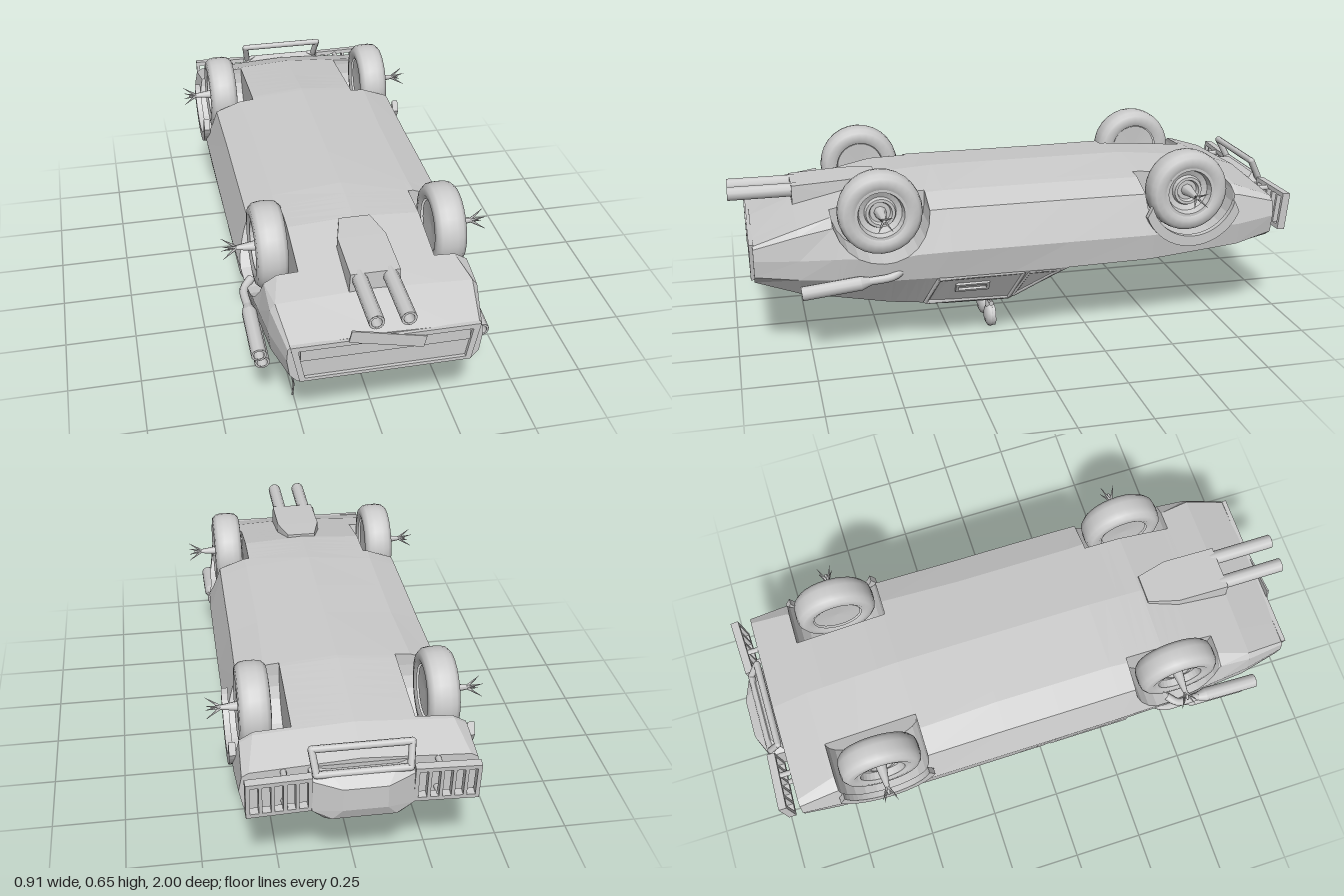
import * as THREE from 'three';
import { ConvexGeometry } from 'three/addons/geometries/ConvexGeometry.js';

const V = (x, y, z) => new THREE.Vector3(x, y, z);
const mat = new THREE.MeshStandardMaterial({ color: 0xcccccc, side: THREE.DoubleSide });
const flat = new THREE.MeshStandardMaterial({ color: 0xcccccc, side: THREE.DoubleSide, flatShading: true });

// Half cross-sections of the overturned shell, from nose to tail:
// z, underside centre y, sill x,y, belt x,y, shoulder x,y, roof rim x,y, inner roof y
const SECTIONS = [
  [-0.91, 0.495, 0.345, 0.475, 0.378, 0.41, 0.365, 0.345, 0.33, 0.322, 0.318],
  [-0.78, 0.54, 0.32, 0.52, 0.383, 0.39, 0.37, 0.31, 0.33, 0.293, 0.287],
  [-0.45, 0.573, 0.25, 0.55, 0.386, 0.375, 0.372, 0.28, 0.32, 0.275, 0.268],
  [-0.15, 0.573, 0.24, 0.55, 0.386, 0.375, 0.37, 0.275, 0.31, 0.27, 0.265],
  [0.05, 0.573, 0.24, 0.55, 0.386, 0.375, 0.367, 0.275, 0.285, 0.14, 0.135],
  [0.27, 0.572, 0.24, 0.55, 0.385, 0.375, 0.365, 0.275, 0.285, 0.145, 0.14],
  [0.469, 0.56, 0.25, 0.545, 0.378, 0.37, 0.36, 0.278, 0.287, 0.17, 0.183],
  [0.47, 0.56, 0.25, 0.545, 0.378, 0.37, 0.36, 0.278, 0.287, 0.17, 0.217],
  [0.78, 0.49, 0.32, 0.475, 0.345, 0.37, 0.338, 0.3, 0.29, 0.232, 0.268],
  [0.93, 0.43, 0.3, 0.42, 0.312, 0.37, 0.304, 0.31, 0.28, 0.283, 0.288],
];
const WHEELS = [-0.6, 0.5], WHEEL_Y = 0.51, ARCH = 0.165;

function sectionAt(z) {
  let i = 0;
  while (i < SECTIONS.length - 2 && SECTIONS[i + 1][0] < z) i++;
  const a = SECTIONS[i], b = SECTIONS[i + 1], t = (z - a[0]) / (b[0] - a[0]);
  return a.map((v, k) => v + (b[k] - v) * t);
}

function ring(z, wheelZ) {
  const [, yc, xu, yu, xm, ym, xs, ys, xr, yr, yi] = sectionAt(z);
  const xi = z < 0 ? 0.197 : 0.225, yB = yc + (yu - yc) * (xi / xu);
  let well = yB;
  let side = [[xu, yu], [xu + (xm - xu) * 0.68, yu + (ym - yu) * 0.2], [xm, ym], [xs, ys]];
  if (wheelZ !== null) { // cut the wheel well into the side
    well = Math.min(yu - 0.001, WHEEL_Y - Math.sqrt(Math.max(0, ARCH ** 2 - (z - wheelZ) ** 2)));
    const k = side.findIndex(p => p[1] <= well), [a, b] = [side[k - 1], side[k]];
    const cut = [a[0] + (b[0] - a[0]) * (a[1] - well) / (a[1] - b[1]), well];
    side = side.map(p => (p[1] > well ? cut : p));
  }
  const h = [[0, yc], [xi, yB], [xi, well], ...side, [xr, yr], [xr - 0.022, yr], [xr - 0.027, yi], [0, yi]];
  const other = h.slice(1, -1).reverse().map(([x, y]) => [-x, y]);
  return [...h, ...other].map(([x, y]) => V(x, y, z));
}

function shellGeometry() {
  const stations = SECTIONS.map(s => [s[0], null]).filter(([z]) => !WHEELS.some(w => Math.abs(z - w) < ARCH));
  for (const w of WHEELS) {
    stations.push([w - ARCH, null], [w + ARCH, null]);
    for (let k = -6; k <= 6; k++) stations.push([w + ARCH * Math.sin(k * Math.PI / 12) * 0.9999, w]);
  }
  stations.push([0.469, 0.5], [0.47, 0.5]); // sharp step below the rear deck
  stations.sort((a, b) => a[0] - b[0]);
  const rings = stations.map(([z, w]) => ring(z, w)), n = rings[0].length, pts = [];
  for (let i = 0; i < rings.length - 1; i++) for (let j = 0; j < n; j++) {
    const k = (j + 1) % n, a = rings[i], b = rings[i + 1];
    pts.push(a[j], b[j], b[k], a[j], b[k], a[k]);
  }
  const first = rings[0], last = rings[rings.length - 1];
  for (let j = 0; j < n; j++) {
    const k = (j + 1) % n;
    pts.push(V(0, 0.41, first[0].z), first[j], first[k], V(0, 0.36, last[0].z), last[k], last[j]);
  }
  const g = new THREE.BufferGeometry().setFromPoints(pts);
  g.computeVertexNormals();
  return g;
}

export function createModel() {
  const model = new THREE.Group();
  const add = (name, geo, x = 0, y = 0, z = 0, parent = model, m = mat) => {
    const mesh = new THREE.Mesh(geo, m);
    mesh.name = name;
    mesh.position.set(x, y, z);
    parent.add(mesh);
    return mesh;
  };
  // Straight rod or cone between two points
  const rod = (name, p, q, r0, r1 = r0, sides = 8, parent = model, open = false) => {
    const d = q.clone().sub(p);
    const m = add(name, new THREE.CylinderGeometry(r1, r0, d.length(), sides, 1, open), 0, 0, 0, parent);
    m.position.copy(p).addScaledVector(d, 0.5);
    m.quaternion.setFromUnitVectors(V(0, 1, 0), d.normalize());
  };
  const poly = pts => new THREE.Shape(pts.map(([x, y]) => new THREE.Vector2(x, y)));
  const rect = (w, h, x = 0) => [[x - w / 2, -h / 2], [x + w / 2, -h / 2], [x + w / 2, h / 2], [x - w / 2, h / 2]];
  const cutPlate = (outer, holes, depth) => {
    const s = poly(outer);
    s.holes = holes.map(poly);
    return new THREE.ExtrudeGeometry(s, { depth, bevelEnabled: false });
  };
  const slit = (name, p, n, w, h) => {
    const m = add(name, cutPlate(rect(w, h), [rect(w - 0.02, h - 0.018)], 0.01));
    m.position.copy(p);
    m.lookAt(p.clone().add(n));
  };

  add('bodyShell', shellGeometry(), 0, 0, 0, model, flat);
  add('hoodPatch', new THREE.BoxGeometry(0.1, 0.012, 0.15), 0.23, 0.276, -0.62).rotation.x = 0.05;

  // Wheels with recessed rims and spiked hubs
  const tyre = [[0.088, -0.045], [0.105, -0.053], [0.128, -0.05], [0.141, -0.036], [0.145, -0.015],
    [0.145, 0.015], [0.141, 0.036], [0.128, 0.05], [0.105, 0.053], [0.088, 0.045]].map(p => new THREE.Vector2(...p));
  const rim = [[0, -0.035], [0.085, -0.04], [0.09, 0.046], [0.08, 0.046], [0.074, 0.02], [0.055, 0.012],
    [0.05, 0.026], [0.04, 0.026], [0.035, 0.012], [0, 0.012]].map(p => new THREE.Vector2(...p));
  // Crescent lip below the nose wheels
  const crescent = new THREE.Shape();
  crescent.absarc(0, 0, 0.185, Math.PI * 1.12, Math.PI * 1.88, false);
  crescent.absarc(0, 0.01, 0.158, Math.PI * 1.92, Math.PI * 1.08, true);
  const flareGeo = new THREE.ExtrudeGeometry(crescent, { depth: 0.022, bevelEnabled: false, curveSegments: 10 });
  for (const s of [1, -1]) for (const z of WHEELS) {
    const wheel = new THREE.Group();
    wheel.name = 'wheel';
    wheel.position.set(s * (z < 0 ? 0.303 : 0.297), WHEEL_Y, z);
    wheel.rotation.z = -s * Math.PI / 2;
    model.add(wheel);
    add('tyre', new THREE.LatheGeometry(tyre, 28), 0, 0, 0, wheel);
    add('rim', new THREE.LatheGeometry(rim, 28), 0, 0, 0, wheel, flat);
    rod('hubSpike', V(0, 0.01, 0), V(0, 0.13, 0), 0.022, 0.004, 8, wheel);
    for (let k = 0; k < 4; k++) {
      const a = (k + 0.5) * Math.PI / 2;
      rod('spikeBarb', V(0, 0.1, 0), V(0.035 * Math.cos(a), 0.15, 0.035 * Math.sin(a)), 0.006, 0.0005, 5, wheel);
    }
    if (z < 0) add('wheelFlare', flareGeo, s * 0.383 - 0.011, WHEEL_Y, z).rotation.y = Math.PI / 2;
  }

  // Side windows: framed panes with an armoured slit; two more slits on the windshield
  for (const s of [1, -1]) {
    const at = (z, y) => V(s * (0.364 - (0.275 - y) * 0.598), y, z);
    const loops = [[[0.35, 0.16], [0.31, 0.268], [0.01, 0.27], [0.05, 0.153]], [[-0.01, 0.268], [-0.12, 0.268], [0.035, 0.16]]];
    for (const loop of loops) loop.forEach((p, i) =>
      rod('windowFrame', at(...p), at(...loop[(i + 1) % loop.length]), 0.008, 0.008, 4));
    slit('sideWindowSlit', at(0.19, 0.225), V(s * 0.86, -0.51, 0), 0.12, 0.038);
    slit('windshieldSlit', V(s * 0.13, 0.2, -0.05), V(0, -0.84, -0.54), 0.13, 0.045);
  }

  // Roof lamp bar
  rod('lampBar', V(-0.24, 0.107, 0.1), V(0.24, 0.107, 0.1), 0.009);
  for (const x of [-0.225, 0.225]) rod('barPost', V(x, 0.107, 0.1), V(x, 0.15, 0.1), 0.006);
  for (const x of [-0.195, -0.075, 0.07, 0.19]) {
    rod('lampStem', V(x, 0.107, 0.1), V(x, 0.07, 0.1), 0.011);
    add('lamp', new THREE.SphereGeometry(0.043, 10, 8), x, 0.043, 0.097).scale.z = 0.48;
    rod('lampRim', V(x, 0.043, 0.1), V(x, 0.043, 0.08), 0.041, 0.041, 10);
  }

  // Tail frame, strip and crooked plate
  add('tailFrame', cutPlate([[-0.275, 0.29], [0.275, 0.29], [0.302, 0.425], [-0.302, 0.425]],
    [[[-0.258, 0.302], [0.258, 0.302], [0.278, 0.408], [-0.278, 0.408]]], 0.016), 0, 0, 0.926);
  add('tailStrip', new THREE.BoxGeometry(0.54, 0.04, 0.008), 0, 0.385, 0.932);
  add('crookedPlate', new THREE.BoxGeometry(0.245, 0.042, 0.006), 0.003, 0.414, 0.942).rotation.z = -0.23;

  // Exhaust housing and twin pipes
  const housing = [];
  for (const [x, z, y0, y1] of [[0.055, 0.48, 0.54, 0.566], [0.085, 0.59, 0.5, 0.562], [0.085, 0.78, 0.47, 0.552]])
    for (const s of [1, -1]) housing.push(V(s * x, y0, z), V(s * x * 0.95, y1, z));
  add('exhaustHousing', new ConvexGeometry(housing), 0, 0, 0, model, flat);
  const pipe = (name, p, q, r) => {
    rod(name, p, q, r, r, 10, model, true);
    rod(name + 'Bore', p, q, r * 0.3, r * 0.7, 10, model, true);
    const lip = add(name + 'Lip', new THREE.RingGeometry(r * 0.7, r, 10));
    lip.position.copy(q);
    lip.lookAt(q.clone().multiplyScalar(2).sub(p));
  };
  for (const x of [-0.05, 0.05]) pipe('exhaustPipe', V(x, 0.53, 0.76), V(x, 0.53, 1), 0.025);

  // Side pipes: two on one flank, one on the other
  for (const [x, y, z] of [[0.367, 0.262, 0.78], [-0.365, 0.24, 0.77], [-0.38, 0.305, 0.81]]) {
    const s = Math.sign(x), mid = V(x, y + 0.02, z - 0.2);
    pipe('sidePipe', mid, V(x, y, z), 0.025);
    rod('sidePipeTaper', mid, V(x, y + 0.024, z - 0.23), 0.025, 0.015, 10);
    const bend = new THREE.CatmullRomCurve3([V(x, y + 0.024, z - 0.23), V(x, y + 0.034, z - 0.31), V(s * 0.35, y + 0.05, z - 0.345)]);
    add('sidePipeFeed', new THREE.TubeGeometry(bend, 8, 0.015, 8));
  }

  // Nose armour: slotted guards, faceted centre block and a tilted hoop
  const slots = [-0.076, -0.038, 0, 0.038, 0.076].map(x => rect(0.027, 0.105, x));
  for (const s of [1, -1]) {
    add('grilleGuard', cutPlate(rect(0.205, 0.135), slots, 0.028), s * 0.26, 0.415, -0.97).rotation.set(-0.1, s * 0.04, 0);
    for (const y of [0.36, 0.47]) rod('guardBracket', V(s * 0.24, y, -0.9), V(s * 0.24, y, -0.955), 0.01);
  }
  const block = [];
  for (const s of [1, -1]) for (const [x, y, z] of [[0.165, 0.35, -0.9], [0.165, 0.475, -0.9], [0.16, 0.35, -0.962],
    [0.16, 0.462, -0.962], [0.12, 0.312, -0.955], [0.1, 0.33, -0.985], [0.07, 0.37, -1], [0.07, 0.45, -1], [0.11, 0.492, -0.945]])
    block.push(V(s * x, y, z));
  add('noseBlock', new ConvexGeometry(block), 0, 0, 0, model, flat);
  const hoop = [V(-0.145, 0.48, -0.955), V(-0.155, 0.55, -0.918), V(0.155, 0.55, -0.918), V(0.145, 0.48, -0.955)];
  hoop.forEach((p, i) => {
    rod('noseHoop', p, hoop[(i + 1) % 4], 0.012);
    add('hoopCorner', new THREE.SphereGeometry(0.012, 8, 6), p.x, p.y, p.z);
  });

  // Bent aerial hanging from the tail
  const aerial = new THREE.CatmullRomCurve3([V(-0.27, 0.25, 0.82), V(-0.278, 0.21, 0.83), V(-0.272, 0.17, 0.812), V(-0.275, 0.118, 0.805)]);
  add('aerial', new THREE.TubeGeometry(aerial, 12, 0.003, 5));
  return model;
}
